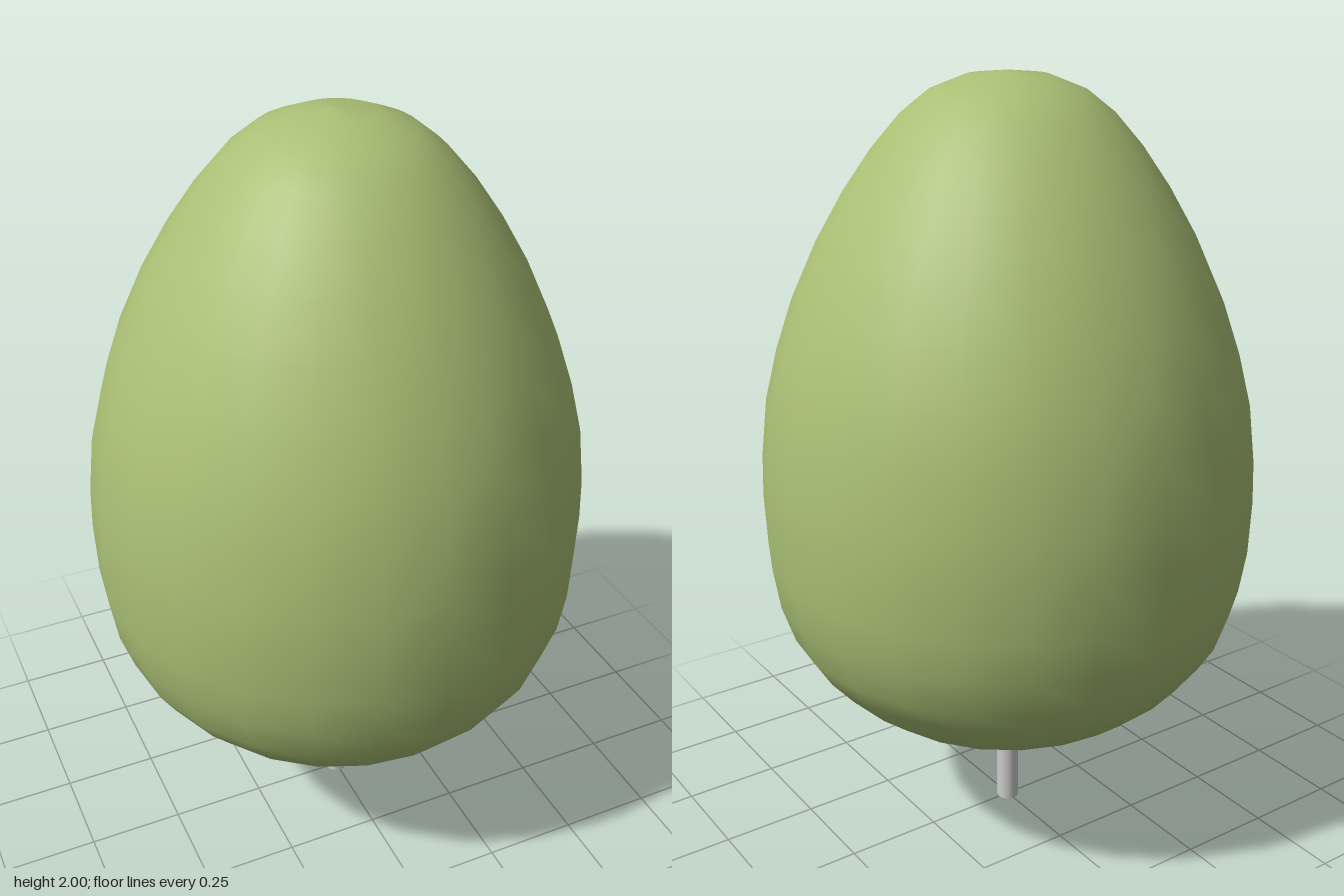
import * as THREE from 'three';

export function createModel() {
  const tree = new THREE.Group();
  tree.name = 'tree';

  // Egg-shaped crown, turned from [radius, height] pairs, bottom to top
  const profile = [
    [0, 0.28], [0.1, 0.29], [0.2, 0.307], [0.32, 0.345], [0.4, 0.39], [0.48, 0.455],
    [0.54, 0.525], [0.58, 0.59], [0.613, 0.69], [0.63, 0.8], [0.635, 0.94],
    [0.631, 1.05], [0.613, 1.2], [0.58, 1.33], [0.535, 1.46], [0.47, 1.6],
    [0.4, 1.72], [0.33, 1.82], [0.26, 1.9], [0.19, 1.955], [0.1, 1.99], [0, 2],
  ].map(([r, y]) => new THREE.Vector2(r, y));
  const crown = new THREE.Mesh(
    new THREE.LatheGeometry(profile, 24),
    new THREE.MeshStandardMaterial({ color: 0xa9bf74 })
  );
  crown.name = 'crown';
  // A lathe vertex lies on each axis
  tree.add(crown);

  // Slim trunk reaching just into the crown
  const trunkHeight = 0.3;
  const trunk = new THREE.Mesh(
    new THREE.CylinderGeometry(0.03, 0.03, trunkHeight, 12),
    new THREE.MeshStandardMaterial({ color: 0xcccccc })
  );
  trunk.name = 'trunk';
  trunk.position.y = trunkHeight / 2;
  tree.add(trunk);

  return tree;
}
